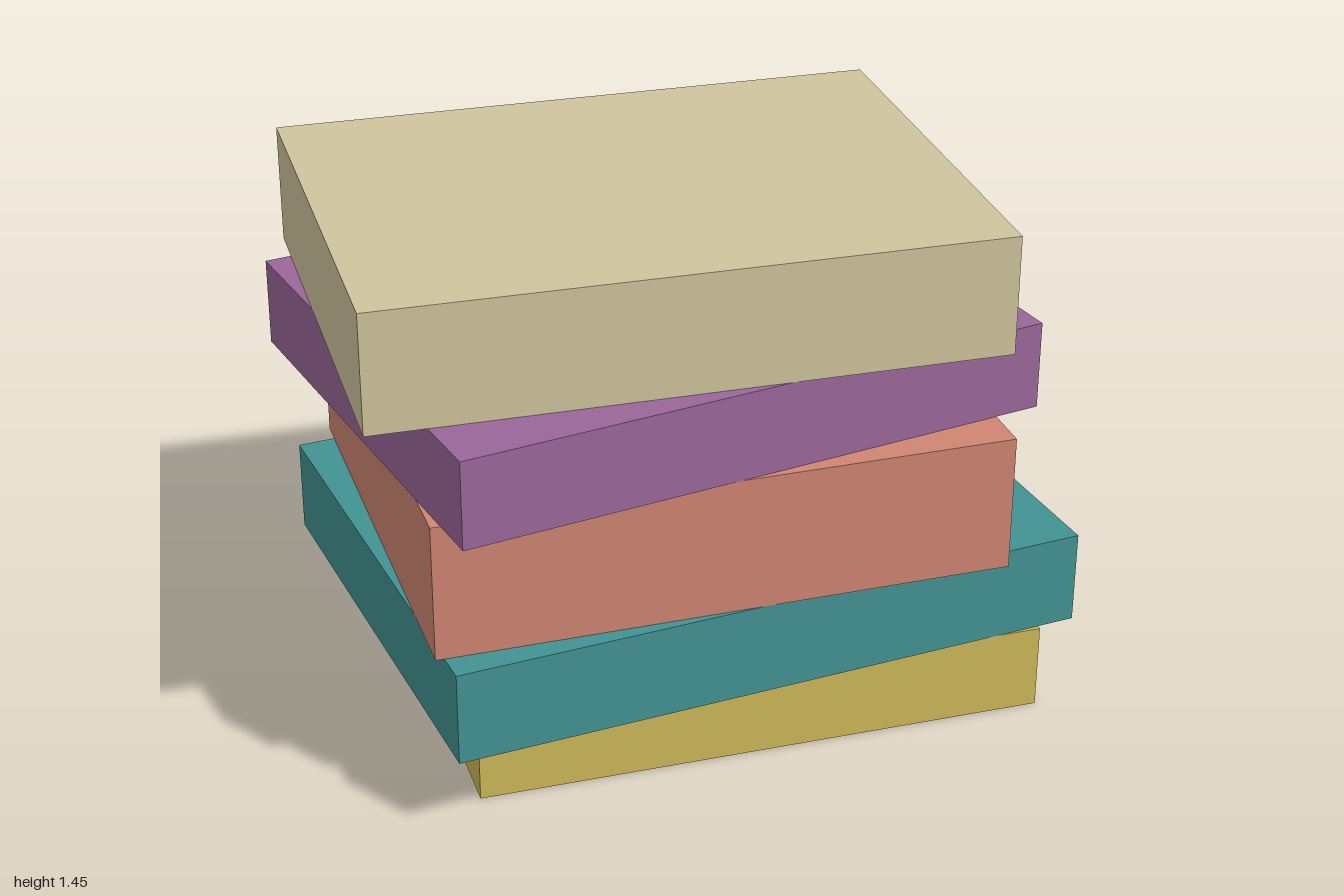
import * as THREE from 'three';

// Stack of plain slabs, bottom to top; each is turned a little about the vertical.
const SLABS = [
  { name: 'bottomSlab', colour: 'mustard', hex: 0xcdb858, w: 1.57, d: 1.194, y0: 0, y1: 0.24, x: 0.132, turn: -8.75 },
  { name: 'secondSlab', colour: 'teal', hex: 0x429292, w: 1.776, d: 1.329, y0: 0.24, y1: 0.5, x: 0.065, turn: -2.35 },
  { name: 'middleSlab', colour: 'salmon', hex: 0xcf8572, w: 1.553, d: 1.31, y0: 0.5, y1: 0.88, x: -0.007, turn: -8.2 },
  { name: 'fourthSlab', colour: 'purple', hex: 0x996699, w: 1.653, d: 1.301, y0: 0.88, y1: 1.123, x: -0.033, turn: 1.82 },
  { name: 'topSlab', colour: 'sand', hex: 0xcfc49d, w: 1.676, d: 1.228, y0: 1.123, y1: 1.45, x: -0.067, turn: -10.05 },
];

export function createModel() {
  const model = new THREE.Group();
  model.name = 'slabStack';
  for (const s of SLABS) {
    const material = new THREE.MeshStandardMaterial({ color: s.hex });
    material.name = s.colour;
    const slab = new THREE.Mesh(new THREE.BoxGeometry(s.w, s.y1 - s.y0, s.d), material);
    slab.name = s.name;
    slab.position.set(s.x, (s.y0 + s.y1) / 2, 0);
    slab.rotation.y = THREE.MathUtils.degToRad(s.turn);
    model.add(slab);
  }
  return model;
}
